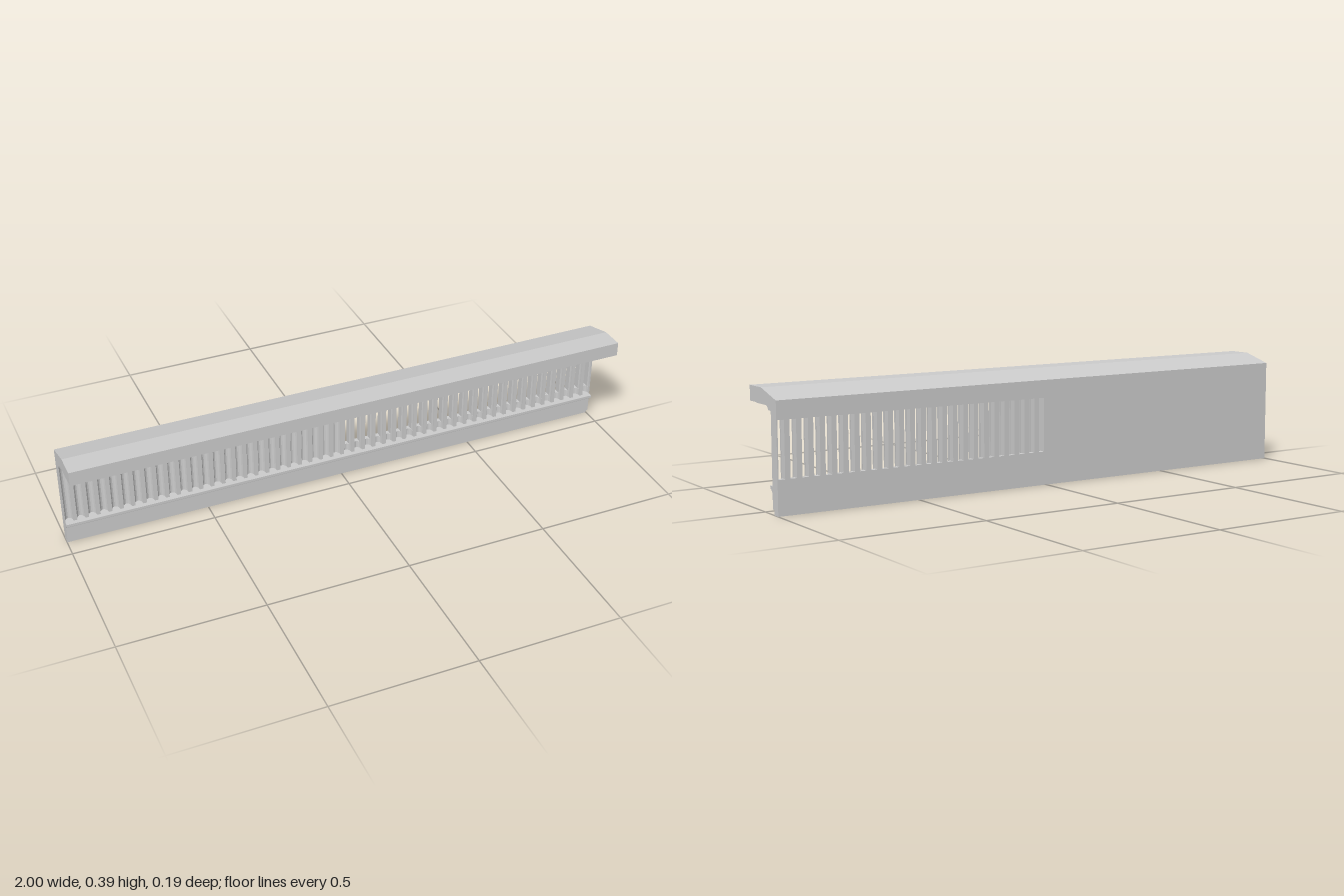
import * as THREE from 'three';

const BACK = 0.095, FRONT = 0.057;          // panel faces, as distance behind the centre
const COUNT = 50, PITCH = 1.97 / (COUNT - 1);
const GROOVE = 0.014, DEPTH = 0.022, SLOT = 0.011;
const Y0 = 0.09, SLOT0 = 0.115, SLOT1 = 0.30, Y1 = 0.325;

export function createModel() {
  const group = new THREE.Group();
  const material = new THREE.MeshStandardMaterial({ color: 0xcccccc });
  const centre = i => -0.985 + i * PITCH;

  function add(name, geometry) {
    const mesh = new THREE.Mesh(geometry, material);
    mesh.name = name;
    group.add(mesh);
  }

  // Moulding: a (z, y) profile swept along the full length
  function moulding(name, shape) {
    const g = new THREE.ExtrudeGeometry(shape, { depth: 2, bevelEnabled: false, curveSegments: 8 });
    g.rotateY(-Math.PI / 2).translate(1, 0, 0);
    add(name, g);
  }

  // Upright: a plan outline (x, -z) raised from one height to another
  function upright(name, points, from, to) {
    const shape = new THREE.Shape(points.map(p => new THREE.Vector2(p[0], p[1])));
    const g = new THREE.ExtrudeGeometry(shape, { depth: to - from, bevelEnabled: false });
    g.rotateX(-Math.PI / 2).translate(0, from, 0);
    add(name, g);
  }

  // Concave groove cross-section, travelling in +x between two angles
  function groove(c, a, b, steps = 8) {
    return Array.from({ length: steps + 1 }, (_, k) => {
      const t = a + (b - a) * k / steps;
      return [c + GROOVE * Math.cos(t), FRONT + DEPTH * Math.sin(t)];
    });
  }

  // Solid panel with a run of grooves in its front
  function flutedPanel(name, x0, x1, first, last, from, to) {
    const pts = [[x0, FRONT]];
    for (let i = first; i <= last; i++) pts.push(...groove(centre(i), Math.PI, 0));
    pts.push([x1, FRONT], [x1, BACK], [x0, BACK]);
    upright(name, pts, from, to);
  }

  // Base rail with toe recess and small ledge
  const base = new THREE.Shape();
  base.moveTo(-BACK, 0);
  base.lineTo(-0.067, 0);
  base.lineTo(-0.067, 0.017);
  base.lineTo(-FRONT, 0.017);
  base.lineTo(-FRONT, 0.071);
  base.lineTo(-0.052, 0.071);
  base.quadraticCurveTo(-0.051, 0.08, -0.041, 0.081);
  base.lineTo(-0.041, Y0);
  base.lineTo(-BACK, Y0);
  moulding('baseRail', base);

  // Overhanging cap with cove and sloped back
  const cap = new THREE.Shape();
  cap.moveTo(-BACK, Y1);
  cap.lineTo(-0.037, Y1);
  cap.quadraticCurveTo(-0.036, 0.339, -0.02, 0.339);
  cap.lineTo(0.048, 0.339);
  cap.lineTo(0.048, 0.341);
  cap.lineTo(0.095, 0.341);
  cap.lineTo(0.095, 0.391);
  cap.lineTo(0.012, 0.391);
  cap.lineTo(-BACK, 0.361);
  moulding('cap', cap);

  // Fluted panel: full strips below and above the slots, closed half between
  flutedPanel('lowerFlutes', -1, 1, 0, COUNT - 1, Y0, SLOT0);
  flutedPanel('upperFlutes', -1, 1, 0, COUNT - 1, SLOT1, Y1);
  const half = COUNT / 2;
  flutedPanel('closedPanel', -1, centre(half) - SLOT, 0, half - 1, SLOT0, SLOT1);

  // Bars between the open slots
  const cut = Math.acos(SLOT / GROOVE);
  for (let i = half; i < COUNT; i++) {
    const c = centre(i), end = i === COUNT - 1;
    const right = end ? [[1, FRONT], [1, BACK]]
      : [...groove(centre(i + 1), Math.PI, Math.PI - cut, 3), [centre(i + 1) - SLOT, BACK]];
    upright('slotBar', [...groove(c, cut, 0, 3), ...right, [c + SLOT, BACK]], SLOT0, SLOT1);
  }
  return group;
}
